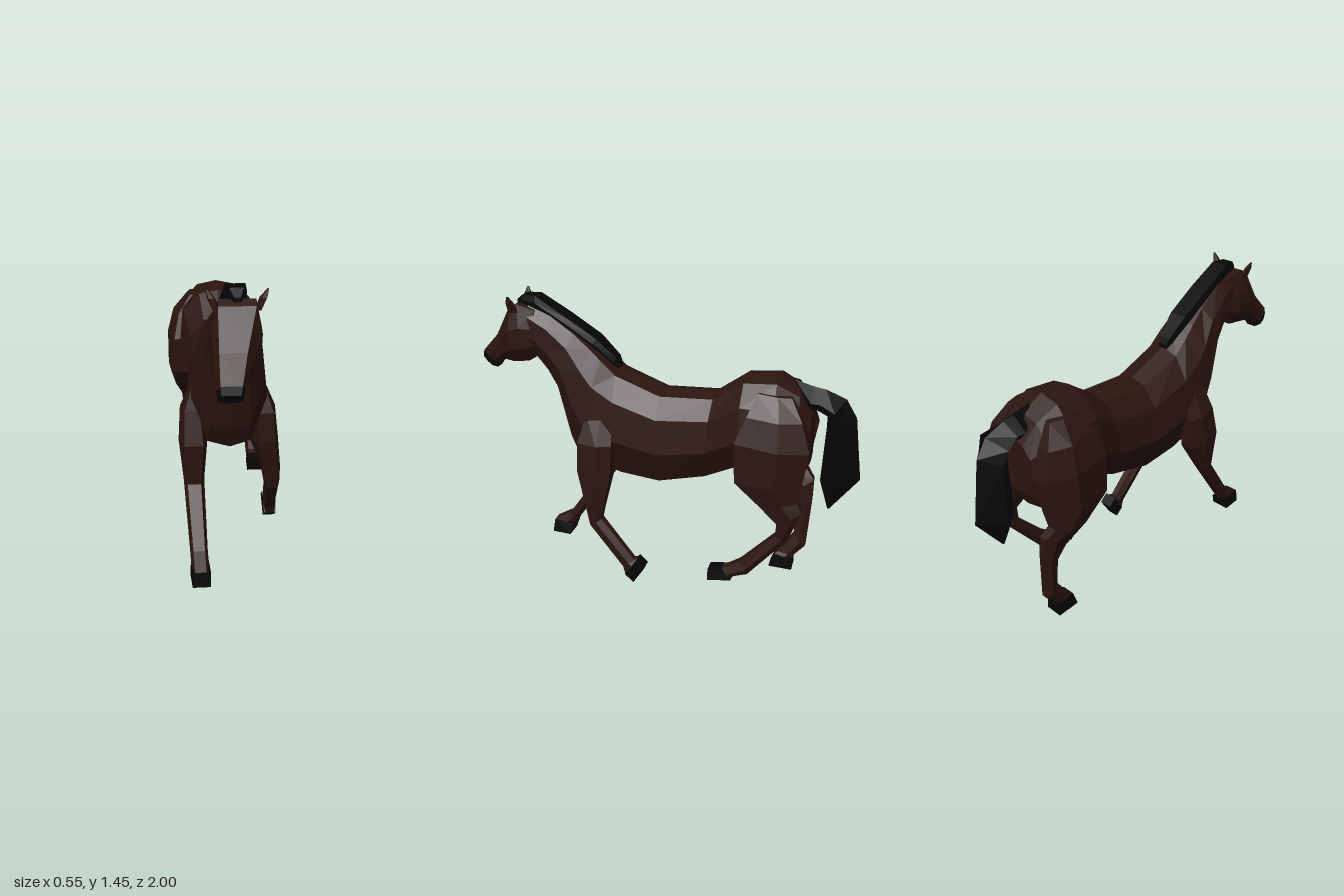
import * as THREE from 'three';

const coat = new THREE.MeshStandardMaterial({ color: 0x2c150f, flatShading: true });
const black = new THREE.MeshStandardMaterial({ color: 0x060606, flatShading: true });

// Half cross-sections: [position from first to second edge, share of half width]
const BARREL = [[0, 0], [0.04, 0.48], [0.24, 0.9], [0.6, 1], [0.95, 0.58], [1, 0]];
const HEAD = [[0, 0.75], [0.4, 1], [0.75, 0.95], [1, 0.5]];
const LIMB = [[0, 0.65], [0.6, 1], [1, 0.45]];
const BLOCK = [[0, 0.85], [1, 1]];
const DIAMOND = [[0, 0], [0.55, 1], [1, 0.4]];
const CREST = [[0, 0.85], [0.4, 1], [1, 0.8]];

// Skins a row of rings. Each ring: [z1, y1, z2, y2, halfWidth, centreX]
function loft(name, rings, profile, material) {
  const pos = [], idx = [];
  const loop = [
    ...profile,
    ...profile.filter(p => p[1] > 0).map(([t, s]) => [t, -s]).reverse(),
  ];
  const n = loop.length, m = rings.length;
  for (const [z1, y1, z2, y2, w, cx = 0] of rings)
    for (const [t, s] of loop)
      pos.push(cx + s * w, y1 + (y2 - y1) * t, z1 + (z2 - z1) * t);
  for (let i = 0; i < m - 1; i++)
    for (let j = 0; j < n; j++) {
      const a = i * n + j, b = i * n + (j + 1) % n;
      idx.push(a, b, b + n, a, b + n, a + n);
    }
  const end = (m - 1) * n;
  for (let j = 1; j < n - 1; j++) {
    idx.push(0, j + 1, j, end, end + j, end + j + 1);
  }
  // Turn all faces outwards: the enclosed volume must be positive
  let volume = 0;
  const v = k => new THREE.Vector3().fromArray(pos, k * 3);
  for (let k = 0; k < idx.length; k += 3)
    volume += v(idx[k]).dot(v(idx[k + 1]).cross(v(idx[k + 2])));
  if (volume < 0) idx.reverse();
  const g = new THREE.BufferGeometry();
  g.setAttribute('position', new THREE.Float32BufferAttribute(pos, 3));
  g.setIndex(idx);
  const flat = g.toNonIndexed();
  flat.computeVertexNormals();
  const mesh = new THREE.Mesh(flat, material);
  mesh.name = name;
  return mesh;
}

// A limb whose last ring is the top of its hoof
function leg(name, rings, hoof) {
  const group = new THREE.Group();
  group.name = name;
  group.add(
    loft(name + 'Limb', [...rings, hoof[0]], LIMB, coat),
    loft(name + 'Hoof', hoof, BLOCK, black),
  );
  return group;
}

// Haunch and thigh shared by both hind legs
const haunch = side => [
  [-0.5, 1.08, -0.66, 1.07, 0.03, 0.13 * side],
  [-0.46, 0.98, -0.72, 0.97, 0.075, 0.165 * side],
  [-0.41, 0.85, -0.765, 0.83, 0.097, 0.178 * side],
  [-0.42, 0.65, -0.735, 0.64, 0.085, 0.19 * side],
  [-0.55, 0.53, -0.725, 0.57, 0.058, 0.198 * side],
];

export function createModel() {
  const horse = new THREE.Group();
  horse.name = 'horse';

  // Rump, barrel, chest and neck
  horse.add(loft('bodyAndNeck', [
    [-0.75, 0.97, -0.755, 0.7, 0.12],
    [-0.69, 1.08, -0.7, 0.6, 0.19],
    [-0.58, 1.14, -0.58, 0.6, 0.22],
    [-0.42, 1.125, -0.42, 0.66, 0.21],
    [-0.27, 1.02, -0.24, 0.57, 0.175],
    [0, 1.01, 0, 0.51, 0.18],
    [0.23, 1.1, 0.2, 0.53, 0.185],
    [0.3, 1.17, 0.43, 0.59, 0.18],
    [0.36, 1.22, 0.48, 0.7, 0.165],
    [0.45, 1.28, 0.55, 0.97, 0.135],
    [0.58, 1.36, 0.6, 1.05, 0.11],
    [0.7, 1.4, 0.68, 1.14, 0.09],
  ], BARREL, coat));

  // Head, turned slightly to one side
  const noseRing = [0.99, 1.12, 0.913, 1.05, 0.058, -0.04];
  horse.add(loft('head', [
    [0.66, 1.37, 0.66, 1.13, 0.085, 0],
    [0.75, 1.4, 0.71, 1.1, 0.103, 0],
    [0.79, 1.38, 0.8, 1.09, 0.103, -0.002],
    [0.89, 1.22, 0.87, 1.085, 0.075, -0.025],
    noseRing,
  ], HEAD, coat));
  horse.add(loft('muzzle', [
    noseRing,
    [1, 1.085, 0.93, 1.025, 0.052, -0.042],
  ], HEAD, black));
  for (const side of [-1, 1])
    horse.add(loft(side > 0 ? 'leftEar' : 'rightEar', [
      [0.785, 1.36, 0.74, 1.36, 0.015, 0.085 * side],
      [0.785, 1.41, 0.75, 1.41, 0.016, 0.105 * side],
      [0.775, 1.445, 0.765, 1.445, 0.004, 0.122 * side],
    ], LIMB, coat));

  horse.add(loft('mane', [
    [0.225, 1.12, 0.23, 1.08, 0.025],
    [0.24, 1.15, 0.28, 1.1, 0.038],
    [0.34, 1.245, 0.38, 1.18, 0.055],
    [0.5, 1.345, 0.52, 1.28, 0.058],
    [0.66, 1.44, 0.66, 1.35, 0.05],
    [0.73, 1.44, 0.74, 1.37, 0.035],
    [0.77, 1.41, 0.77, 1.38, 0.015],
  ], CREST, black));
  horse.add(loft('tail', [
    [-0.65, 1.115, -0.7, 0.98, 0.03],
    [-0.74, 1.09, -0.74, 0.98, 0.08],
    [-0.8, 1.08, -0.77, 0.98, 0.075],
    [-0.9, 1.04, -0.82, 0.96, 0.1],
    [-0.955, 0.95, -0.82, 0.9, 0.09],
    [-1, 0.63, -0.81, 0.62, 0.1],
    [-0.865, 0.45, -0.855, 0.45, 0.006],
  ], DIAMOND, black));

  // Front legs: right reaches forward, left folds back
  horse.add(leg('rightFrontLeg', [
    [0.36, 0.9, 0.24, 0.86, 0.025, -0.15],
    [0.4, 0.76, 0.22, 0.74, 0.055, -0.175],
    [0.44, 0.6, 0.24, 0.57, 0.07, -0.17],
    [0.425, 0.39, 0.345, 0.4, 0.05, -0.17],
    [0.605, 0.13, 0.555, 0.1, 0.042, -0.158],
  ], [
    [0.7, 0.075, 0.575, 0.065, 0.042, -0.155],
    [0.71, 0, 0.6, 0, 0.05, -0.152],
  ]));
  horse.add(leg('leftFrontLeg', [
    [0.36, 0.88, 0.23, 0.86, 0.025, 0.15],
    [0.4, 0.74, 0.22, 0.74, 0.055, 0.175],
    [0.4, 0.59, 0.23, 0.56, 0.07, 0.178],
    [0.355, 0.42, 0.26, 0.4, 0.048, 0.215],
    [0.33, 0.3, 0.27, 0.34, 0.04, 0.222],
    [0.15, 0.085, 0.095, 0.135, 0.034, 0.237],
  ], [
    [0.137, 0.045, 0.073, 0.14, 0.036, 0.24],
    [0.09, 0.005, 0.03, 0.1, 0.037, 0.24],
  ]));

  // Hind legs: right stands, left is lifted under the belly
  horse.add(leg('rightHindLeg', [
    ...haunch(-1),
    [-0.65, 0.44, -0.765, 0.52, 0.044, -0.175],
    [-0.69, 0.36, -0.765, 0.4, 0.037, -0.16],
    [-0.685, 0.2, -0.75, 0.14, 0.036, -0.14],
    [-0.61, 0.09, -0.7, 0.085, 0.036, -0.132],
  ], [
    [-0.59, 0.075, -0.69, 0.065, 0.04, -0.13],
    [-0.565, 0, -0.69, 0, 0.045, -0.13],
  ]));
  horse.add(leg('leftHindLeg', [
    ...haunch(1),
    [-0.635, 0.45, -0.75, 0.52, 0.044, 0.21],
    [-0.63, 0.38, -0.69, 0.36, 0.037, 0.205],
    [-0.46, 0.2, -0.5, 0.13, 0.036, 0.203],
    [-0.4, 0.16, -0.43, 0.105, 0.036, 0.203],
  ], [
    [-0.37, 0.15, -0.42, 0.09, 0.036, 0.203],
    [-0.3, 0.135, -0.3, 0.075, 0.042, 0.205],
  ]));

  return horse;
}
